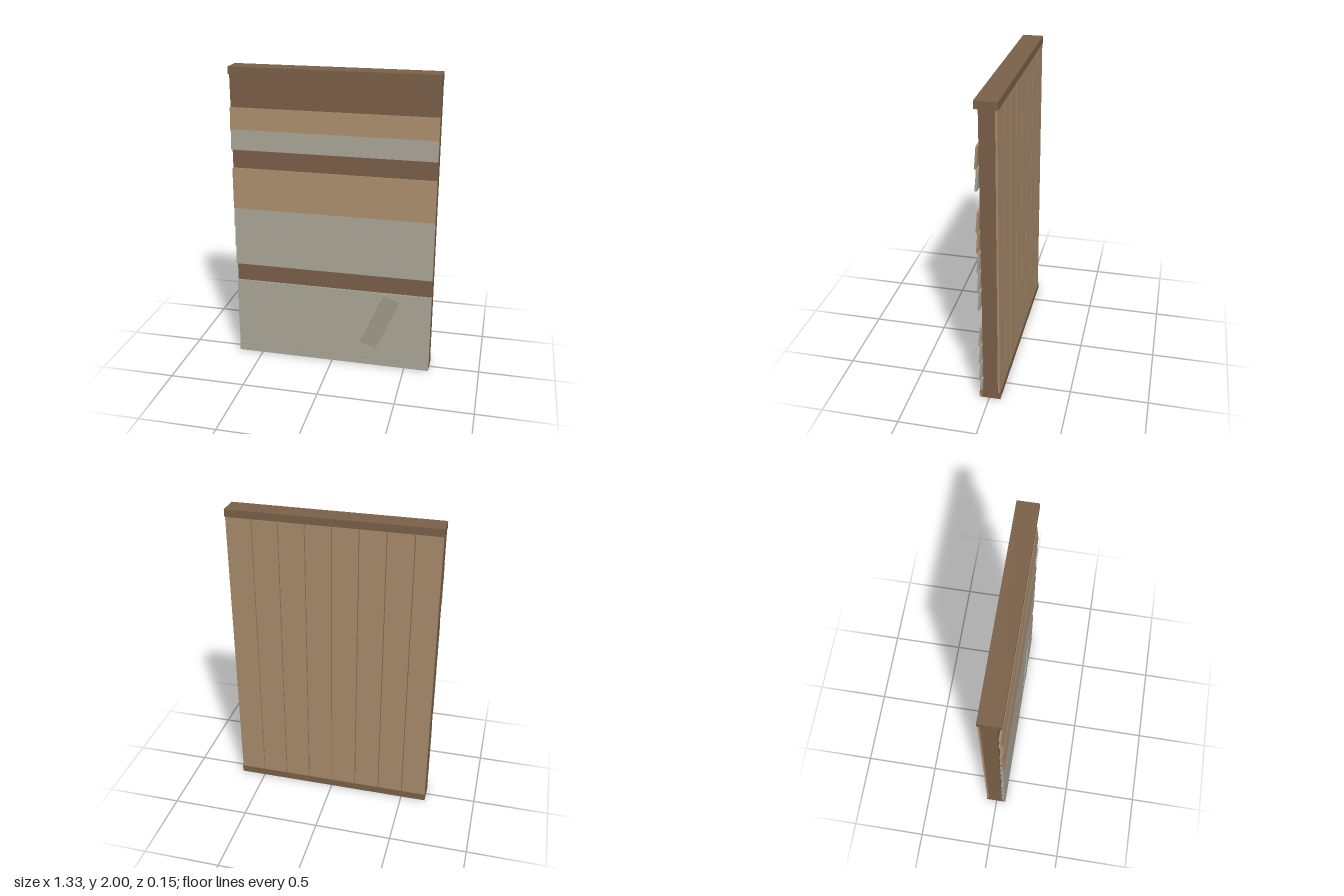
import * as THREE from 'three';

const mat = (name, color) => new THREE.MeshStandardMaterial({ name, color });

export function createModel() {
  const model = new THREE.Group();
  model.name = 'woodenWall';
  const frameWood = mat('darkBrownWood', 0x7b6149);
  const tanWood = mat('tanWood', 0xa98c6c);
  const greyWood = mat('weatheredGreyWood', 0xa8a294);
  const patchWood = mat('patchGreyWood', 0xa29b8d);
  const W = 1.332, H = 2;

  const box = (name, material, size, pos) => {
    const mesh = new THREE.Mesh(new THREE.BoxGeometry(...size), material);
    mesh.name = name;
    mesh.position.set(...pos);
    model.add(mesh);
    return mesh;
  };

  // Solid core with a sill and a top plate
  const beam = 0.048, back = -0.073, front = 0.062;
  box('wallCore', frameWood, [W, H - 2 * beam, 0.093], [0, H / 2, -0.0095]);
  for (const [name, y] of [['bottomSill', beam / 2], ['topPlate', H - beam / 2]]) {
    box(name, frameWood, [W, beam, front - back], [0, y, (front + back) / 2]);
  }

  // Overlapping front siding, one letter per row from the ground up: grey, tan or missing
  const pitch = H / 15;
  [...'gggg-gggtt-gt'].forEach((kind, row) => {
    if (kind === '-') return;
    const board = box('sidingBoard' + row, kind === 'g' ? greyWood : tanWood,
      [W, 0.14, 0.015], [0, row * pitch + 0.0705, 0.0525]);
    board.rotation.x = -0.085;
  });

  // Slanted repair board
  box('patchBoard', patchWood, [0.114, 0.396, 0.01], [0.33, 0.335, 0.068]).rotation.z = -0.402;

  // Vertical boards on the back
  const step = W / 8;
  for (let i = 0; i < 8; i++) {
    box('backBoard' + i, tanWood, [step - 0.006, H - 2 * beam, 0.013],
      [(i - 3.5) * step, H / 2, -0.0625]);
  }
  return model;
}
